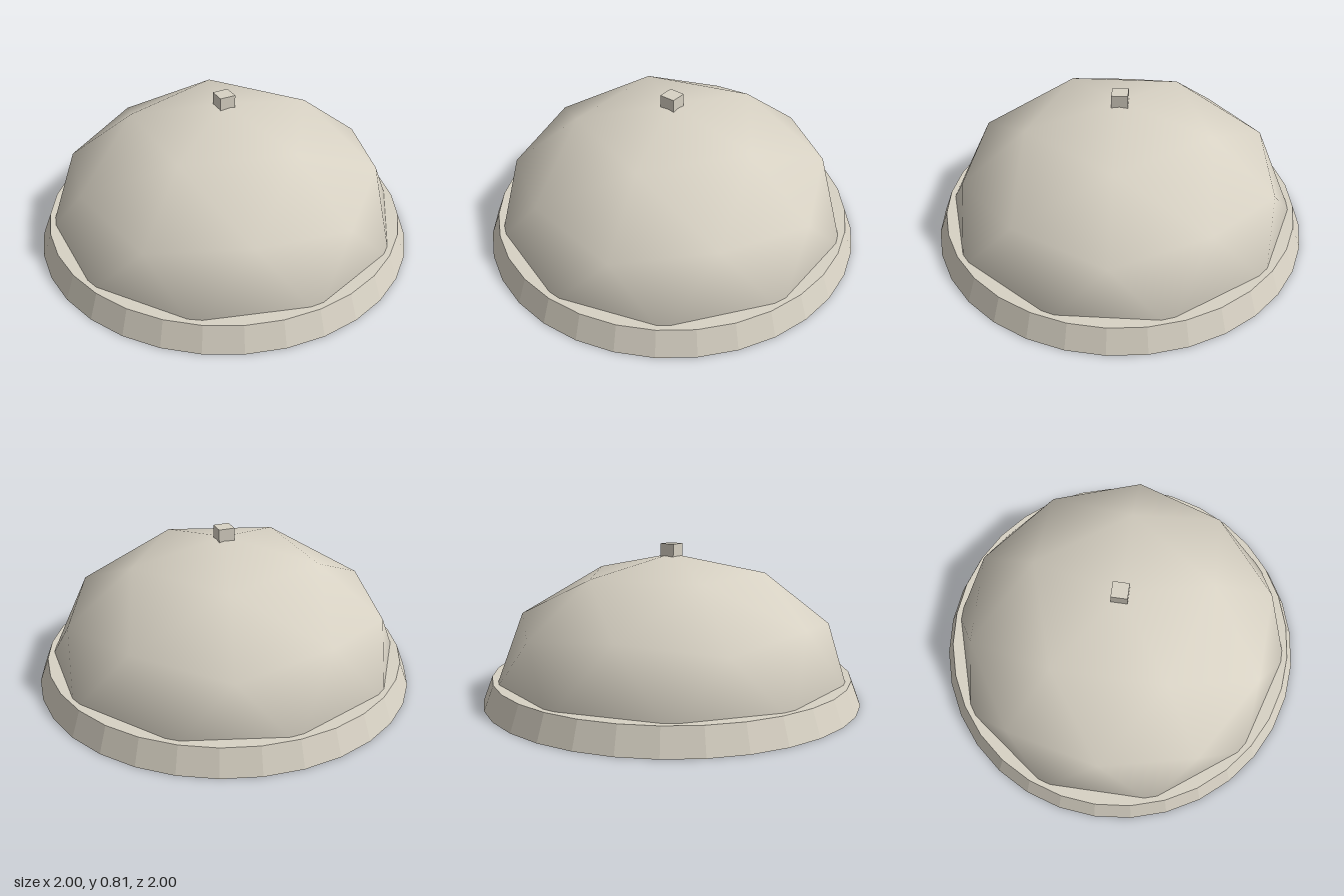
import * as THREE from 'three';

// Upper half of a once-subdivided icosahedron with a vertex at the pole
function halfIcosphere() {
  const sphere = new THREE.IcosahedronGeometry(1, 1);
  sphere.rotateZ(-Math.atan(2 / (1 + Math.sqrt(5))));
  const p = sphere.attributes.position;
  const pos = [];
  for (let i = 0; i < p.count; i += 3) {
    if (p.getY(i) + p.getY(i + 1) + p.getY(i + 2) < 0) continue;
    for (let k = i; k < i + 3; k++) pos.push(p.getX(k), p.getY(k), p.getZ(k));
  }
  const half = new THREE.BufferGeometry();
  half.setAttribute('position', new THREE.Float32BufferAttribute(pos, 3));
  // On a unit sphere the smooth normal equals the position
  half.setAttribute('normal', new THREE.Float32BufferAttribute(pos, 3));
  return half;
}

export function createModel() {
  const model = new THREE.Group();
  model.name = 'domeLight';
  const ivory = new THREE.MeshStandardMaterial({ color: 0xd8d2c4 });
  ivory.name = 'warm ivory';

  const add = (name, geometry, y) => {
    const mesh = new THREE.Mesh(geometry, ivory);
    mesh.name = name;
    mesh.position.y = y;
    model.add(mesh);
  };

  // Faceted, tapered base ring (un-indexed so every side is flat)
  const base = new THREE.CylinderGeometry(0.95, 1, 0.13, 32).toNonIndexed();
  base.computeVertexNormals();
  add('base', base, 0.065);

  // Smooth-shaded low-poly dome, its rim sunk into the base
  add('dome', halfIcosphere().scale(0.94, 0.675, 0.94), 0.085);

  // Small cube on the crown
  add('topKnob', new THREE.BoxGeometry(0.084, 0.084, 0.084), 0.772);

  return model;
}
